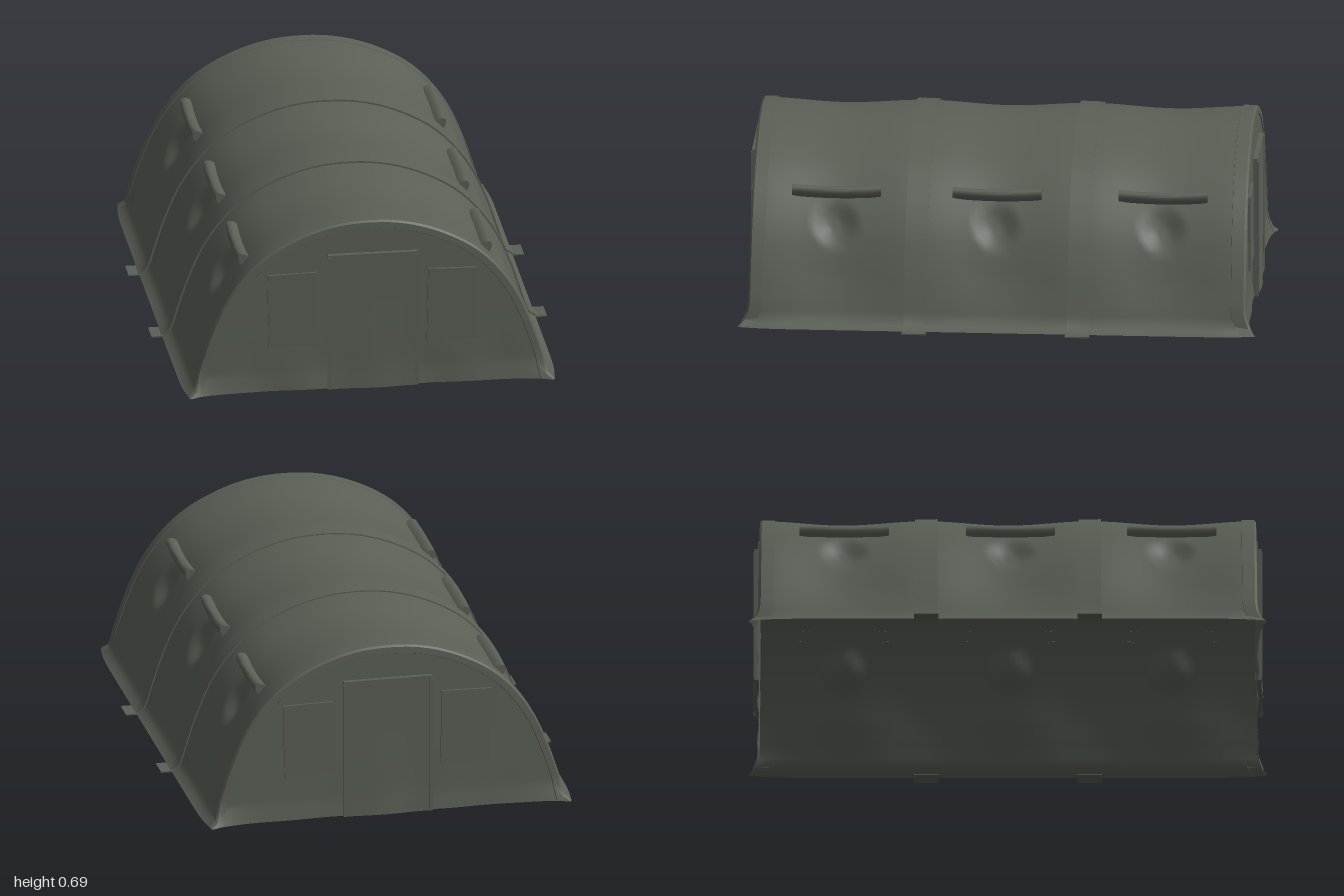
import * as THREE from 'three';
import { toCreasedNormals } from 'three/addons/utils/BufferGeometryUtils.js';

const END = 0.95;          // z of the end walls
const FRAMES = 0.315;      // z of the two inner arches

// Half of the arch, from the crown down to the skirt
const HALF = [[0.1, 0.674], [0.2, 0.652], [0.3, 0.613], [0.4, 0.555], [0.48, 0.482], [0.56, 0.372],
  [0.622, 0.235], [0.67, 0.09], [0.692, 0.025], [0.726, 0.001]];
const arch = new THREE.CatmullRomCurve3([
  ...HALF.map(([x, y]) => new THREE.Vector3(-x, y, 0)).reverse(),
  new THREE.Vector3(0, 0.68, 0),
  ...HALF.map(([x, y]) => new THREE.Vector3(x, y, 0)),
]);

// Point on the arch, moved outwards by off
function archPoint(u, off = 0) {
  const p = arch.getPointAt(u), t = arch.getTangentAt(u);
  return new THREE.Vector3(p.x - t.y * off, Math.max(0, p.y + t.x * off), 0);
}

// At the ends the cloth leans out slightly and the skirt turns towards the end wall
function endSkirt(p, amount) {
  const low = Math.max(0, 1 - p.y / 0.07) * amount;
  const lean = 0.007 * (1 - p.y / 0.69) * amount;
  p.z += Math.sign(p.z) * (lean + low * (0.006 + 0.031 * (Math.abs(p.x) / 0.72) ** 8));
  p.x *= 1 - 0.025 * low;
  return p;
}

// Surface from a rule f(u, v) -> Vector3
function surface(nu, nv, f) {
  const pos = [], idx = [], w = nv + 1;
  for (let i = 0; i <= nu; i++) {
    for (let j = 0; j <= nv; j++) pos.push(...f(i / nu, j / nv).toArray());
  }
  for (let i = 0; i < nu; i++) {
    for (let j = 0; j < nv; j++) {
      const a = i * w + j, b = a + 1, c = a + w, d = c + 1;
      idx.push(a, b, c, b, d, c);
    }
  }
  const g = new THREE.BufferGeometry();
  g.setAttribute('position', new THREE.Float32BufferAttribute(pos, 3));
  g.setIndex(idx);
  g.computeVertexNormals();
  return g;
}

// Band along the arch; section is a list of [z, offset]
function archBand(section, skirt) {
  const n = section.length - 1;
  return toCreasedNormals(surface(56, n, (u, v) => {
    const [z, off] = section[Math.round(v * n)];
    const p = archPoint(u, off);
    p.z = z;
    return endSkirt(p, skirt);
  }), 0.6);
}

// Rolled cover lying on the right or left slope
function rolledCover(s, z) {
  return surface(12, 8, (u, v) => {
    const size = u === 0 || u === 1 ? 0 : 1;
    const along = THREE.MathUtils.clamp((u - 1 / 12) / (10 / 12), 0, 1) * 2 - 1;
    const a = Math.PI * (s > 0 ? 1 - v : v);
    const across = 0.022 * Math.cos(a) * size + 0.006 - 0.008 * along * along;
    const up = 0.036 * Math.sin(a) * size - 0.012;
    return new THREE.Vector3(s * (0.474 + 0.69 * across + 0.72 * up),
      0.487 - 0.72 * across + 0.69 * up, z - along * 0.172);
  });
}

export function createModel() {
  const root = new THREE.Group();
  root.name = 'archedTent';
  const canvas = new THREE.MeshStandardMaterial({ color: 0x5a6056, side: THREE.DoubleSide });
  canvas.name = 'olive canvas';
  const add = (parent, name, geometry) => {
    const m = new THREE.Mesh(geometry, canvas);
    m.name = name;
    parent.add(m);
    return m;
  };

  // Roof cloth, drawn inwards between the arches, with a dented vent under each roll
  const vents = [-0.63, 0.01, 0.63];
  add(root, 'roofCloth', surface(80, 110, (u, v) => {
    const z = (v * 2 - 1) * END;
    const p = archPoint(u);
    let dent = 0;
    for (const vz of vents) {
      dent = Math.max(dent, 1 - Math.hypot(z - vz, (p.y - 0.38) * 1.1) / 0.09);
    }
    const sag = Math.sin(Math.PI * (z + END) / (END * 2 / 3)) ** 2;
    const depth = (0.012 + 0.008 * Math.min(1, Math.abs(p.x) / 0.5)) * Math.min(1, p.y / 0.2);
    const q = archPoint(u, -sag * depth - 0.026 * Math.min(1, dent * 1.5));
    q.z = z;
    return endSkirt(q, Math.abs(z / END) ** 20);
  }));

  // Straps over the inner arches with flat feet on the ground
  for (const s of [-1, 1]) {
    const a = s * FRAMES - 0.043, b = s * FRAMES + 0.043;
    const strap = new THREE.Group();
    strap.name = 'archStrap';
    root.add(strap);
    add(strap, 'strapBand', archBand([[a, 0.001], [a, 0.006], [b, 0.008], [b, 0.001]], 0));
    for (const side of [-1, 1]) {
      const foot = add(strap, 'strapFoot', new THREE.BoxGeometry(0.07, 0.005, 0.094));
      foot.position.set(side * 0.734, 0.003, s * FRAMES);
    }
  }

  // Rolled covers above the vents
  for (const s of [-1, 1]) {
    for (const z of vents) add(root, 'ventRoll', toCreasedNormals(rolledCover(s, z), 0.8));
  }

  // End walls; m mirrors x so that both ends line up after turning
  for (const m of [1, -1]) {
    const end = new THREE.Group();
    end.name = m > 0 ? 'frontEnd' : 'backEnd';
    if (m < 0) end.rotation.y = Math.PI;
    root.add(end);

    // Wall cloth with soft folds near the ground
    add(end, 'endWall', surface(28, 64, (t, u) => {
      const p = archPoint(u);
      p.y *= t;
      const low = Math.max(0, 1 - p.y / 0.25) * Math.max(0, 1 - (p.x / 0.66) ** 2);
      p.z = END + 0.004 * Math.sin(p.x * m * 19 + p.y * 9) * low;
      return endSkirt(p, 1);
    }));

    // Flat hem around the arch
    add(end, 'archHem', archBand([[0.897, 0.001], [0.898, 0.004], [0.946, 0.004], [0.954, -0.003],
      [0.955, -0.028], [0.951, -0.03]], 1));

    // Door flap, spreading a little at the foot
    const door = new THREE.BoxGeometry(0.35, 0.555, 0.018, 8, 12, 1);
    door.translate(0.007 * m, 0.2785, 0.967);
    const dp = door.attributes.position;
    for (let i = 0; i < dp.count; i++) {
      const x = dp.getX(i), y = dp.getY(i);
      const wave = 0.004 * Math.sin(x * m * 22 + 1) * Math.max(0, 1 - y / 0.3);
      dp.setZ(i, dp.getZ(i) + wave + 0.004 * Math.max(0, 1 - y / 0.08));
    }
    door.computeVertexNormals();
    add(end, 'doorFlap', toCreasedNormals(door, 0.6));
    for (const x of [-0.163, 0.177]) {
      const edge = add(end, 'doorEdge', new THREE.BoxGeometry(0.016, 0.54, 0.01));
      edge.position.set(x * m, 0.275, 0.975);
    }

    // Window covers
    for (const [x, y, w, h] of [[-0.302, 0.332, 0.195, 0.3], [0.318, 0.325, 0.195, 0.295]]) {
      const cover = add(end, 'windowCover', new THREE.BoxGeometry(w, h, 0.009));
      cover.position.set(x * m, y, 0.958);
      cover.rotation.z = -0.02 * m * Math.sign(x);
    }
  }
  return root;
}
